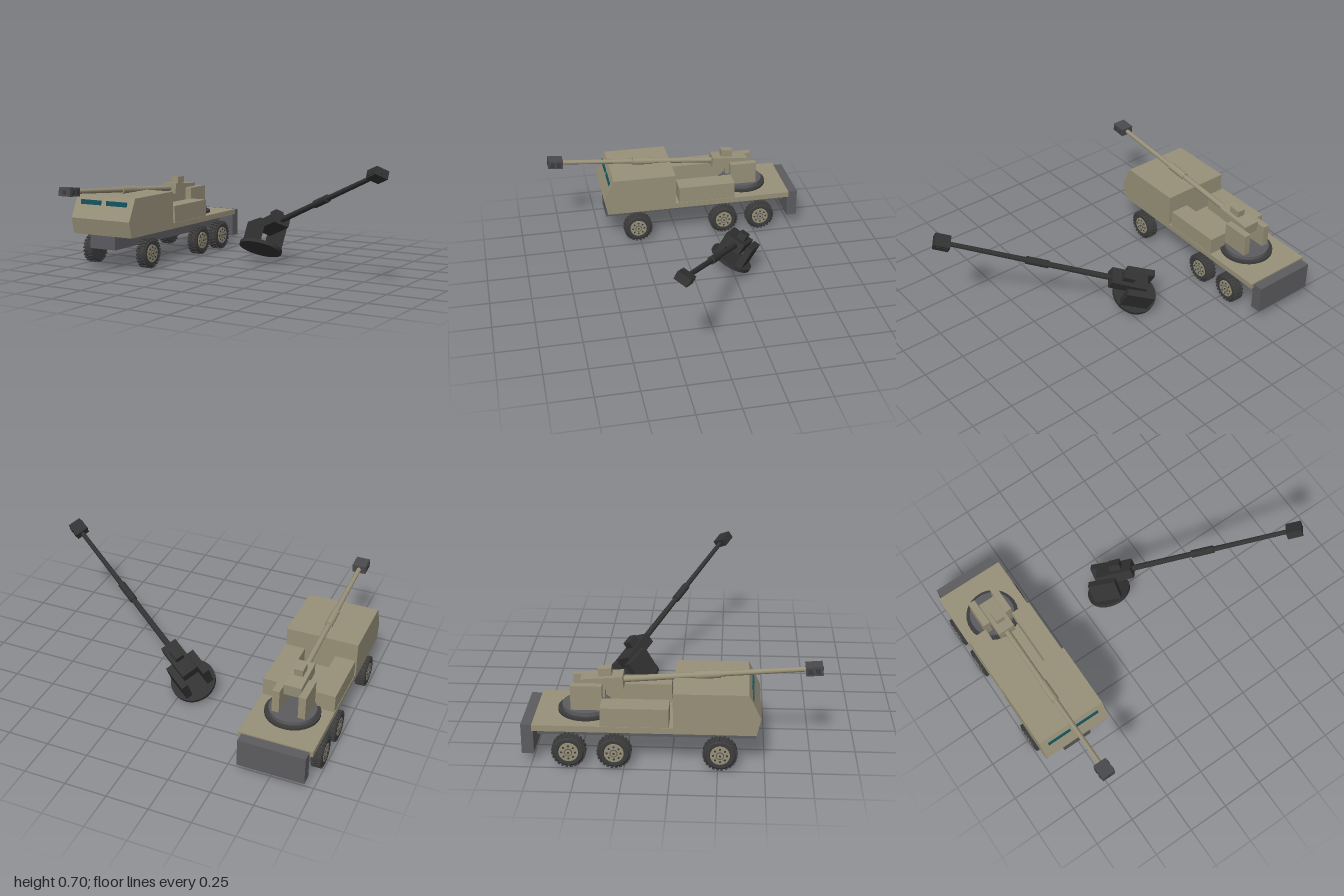
import * as THREE from 'three';

const mat = (name, color, extra = {}) =>
  Object.assign(new THREE.MeshStandardMaterial({ color, ...extra }), { name });

export function createModel() {
  const tan = mat('tan paint', 0x979078);
  const grey = mat('chassis grey', 0x5c5c60);
  const dark = mat('dark rubber', 0x3c3c3d);
  const metal = mat('muzzle metal', 0x4a4a4d);
  const glass = mat('teal glass', 0x145560);
  const burnt = mat('charred metal', 0x323232);

  const add = (parent, name, geo, material, x = 0, y = 0, z = 0) => {
    const mesh = new THREE.Mesh(geo, material);
    mesh.name = name;
    mesh.position.set(x, y, z);
    parent.add(mesh);
    return mesh;
  };
  const box = (parent, name, w, h, d, material, x, y, z) =>
    add(parent, name, new THREE.BoxGeometry(w, h, d), material, x, y, z);
  const group = (parent, name, x = 0, y = 0, z = 0) => {
    const g = new THREE.Group();
    g.name = name;
    g.position.set(x, y, z);
    parent.add(g);
    return g;
  };

  // Gun with cradle, pointing along +z from its trunnion
  function makeGun(parent, paint, tip, slotPaint) {
    const gun = group(parent, 'gun', 0, 0.156, 0.087);
    gun.rotation.x = THREE.MathUtils.degToRad(-4.7);
    box(gun, 'cradle', 0.103, 0.068, 0.228, paint, 0, 0, 0.002);
    box(gun, 'sight', 0.053, 0.044, 0.072, paint, 0, 0.055, 0.02);
    const tube = (name, rFront, rBack, z0, z1) => {
      const geo = new THREE.CylinderGeometry(rFront, rBack, z1 - z0, 16);
      geo.rotateX(Math.PI / 2);
      add(gun, name, geo, paint, 0, 0, (z0 + z1) / 2);
    };
    tube('barrel', 0.0135, 0.018, 0.11, 1.1);
    tube('barrelSleeve', 0.023, 0.023, 0.5, 0.637);
    box(gun, 'muzzleBrake', 0.082, 0.05, 0.092, tip, 0, 0, 1.136);
    for (const s of [-1, 1])
      for (const z of [1.115, 1.155])
        box(gun, 'muzzleSlot', 0.006, 0.03, 0.024, slotPaint, s * 0.0425, 0, z);
    const bore = add(gun, 'bore', new THREE.CylinderGeometry(0.013, 0.013, 0.004, 16), slotPaint, 0, 0, 1.183);
    bore.rotation.x = Math.PI / 2;
  }

  // Turntable, cheeks and gun, standing on the local origin
  function makeTurret(parent, name, paint, base, tip, slotPaint) {
    const turret = group(parent, name);
    add(turret, 'turntable', new THREE.CylinderGeometry(0.135, 0.135, 0.022, 32), base, 0, 0.011, 0);
    for (const s of [-1, 1])
      box(turret, 'cheek', 0.042, 0.142, 0.17, paint, s * 0.076, 0.091, 0.007);
    makeGun(turret, paint, tip, slotPaint);
    return turret;
  }

  // Wheel whose outer face looks towards +x
  function makeWheel(parent, side, z) {
    const wheel = group(parent, 'wheel', side * 0.2, 0.094, z);
    if (side < 0) wheel.rotation.y = Math.PI;
    const profile = [[0, -0.031], [0.076, -0.031], [0.087, -0.02], [0.087, 0.02], [0.076, 0.031], [0.057, 0.031], [0.054, 0.024], [0, 0.024]]
      .map(([r, h]) => new THREE.Vector2(r, h));
    const lathe = new THREE.LatheGeometry(profile, 28).toNonIndexed();
    lathe.computeVertexNormals();
    lathe.rotateZ(-Math.PI / 2);
    add(wheel, 'tyre', lathe, dark);
    const disc = (name, r, h, material, x, y = 0, zz = 0, sides = 24) => {
      const geo = new THREE.CylinderGeometry(r, r, h, sides);
      geo.rotateZ(-Math.PI / 2);
      add(wheel, name, geo, material, x, y, zz);
    };
    disc('rim', 0.053, 0.008, tan, 0.027);
    disc('hubRing', 0.022, 0.004, grey, 0.032);
    disc('hubCap', 0.017, 0.006, tan, 0.0325);
    disc('axleEnd', 0.006, 0.003, dark, 0.036, 0, 0, 10);
    for (let i = 0; i < 8; i++) {
      const a = (i / 8) * Math.PI * 2;
      disc('rimHole', 0.006, 0.002, dark, 0.0315, Math.cos(a) * 0.037, Math.sin(a) * 0.037, 10);
    }
    // Staggered tread blocks
    for (let i = 0; i < 24; i++) {
      const a = (i / 24) * Math.PI * 2;
      for (const s of [-1, 1]) {
        const b = a + (s > 0 ? Math.PI / 24 : 0);
        const lug = box(wheel, 'treadBlock', 0.026, 0.008, 0.013, dark, s * 0.0145, Math.cos(b) * 0.088, Math.sin(b) * 0.088);
        lug.rotation.x = b;
      }
    }
  }

  const model = new THREE.Group();
  model.name = 'gunTruckWithSpareTurret';
  const truck = group(model, 'truck', -0.765, 0, 0);

  // Chassis, deck and rear plate
  box(truck, 'chassis', 0.185, 0.082, 1.186, grey, 0, 0.168, -0.14);
  box(truck, 'deck', 0.43, 0.034, 0.755, tan, 0, 0.226, -0.362);
  box(truck, 'rearPlate', 0.39, 0.172, 0.066, grey, 0, 0.149, -0.768);

  // Cab: side profile as (z, y), extruded across the width
  const profile = new THREE.Shape(
    [[0.012, 0.209], [0.453, 0.209], [0.475, 0.308], [0.411, 0.443], [0.012, 0.443]]
      .map(([z, y]) => new THREE.Vector2(-z, y)));
  const cabGeo = new THREE.ExtrudeGeometry(profile, { depth: 0.43, bevelEnabled: false });
  cabGeo.translate(0, 0, -0.215);
  cabGeo.rotateY(Math.PI / 2);
  add(truck, 'cab', cabGeo, tan);

  // Mirrored windows, stowage boxes and wheels
  for (const s of [-1, 1]) {
    box(truck, 'windscreen', 0.149, 0.028, 0.009, glass, s * 0.095, 0.404, 0.4335);
    box(truck, 'stowageBox', 0.12, 0.107, 0.364, tan, s * 0.152, 0.296, -0.192);
    for (const z of [0.262, -0.302, -0.545]) makeWheel(truck, s, z);
  }

  // Mounted turret
  add(truck, 'turretRing', new THREE.CylinderGeometry(0.158, 0.158, 0.016, 32), dark, 0, 0.25, -0.465);
  makeTurret(truck, 'mountedTurret', tan, grey, metal, dark).position.set(0, 0.258, -0.465);

  // Detached, burnt turret thrown clear of the truck
  const loose = makeTurret(model, 'detachedTurret', burnt, burnt, burnt, burnt);
  loose.position.set(-0.067, 0.084, -0.238);
  loose.rotation.set(-Math.PI / 6, THREE.MathUtils.degToRad(55), 0);

  return model;
}
